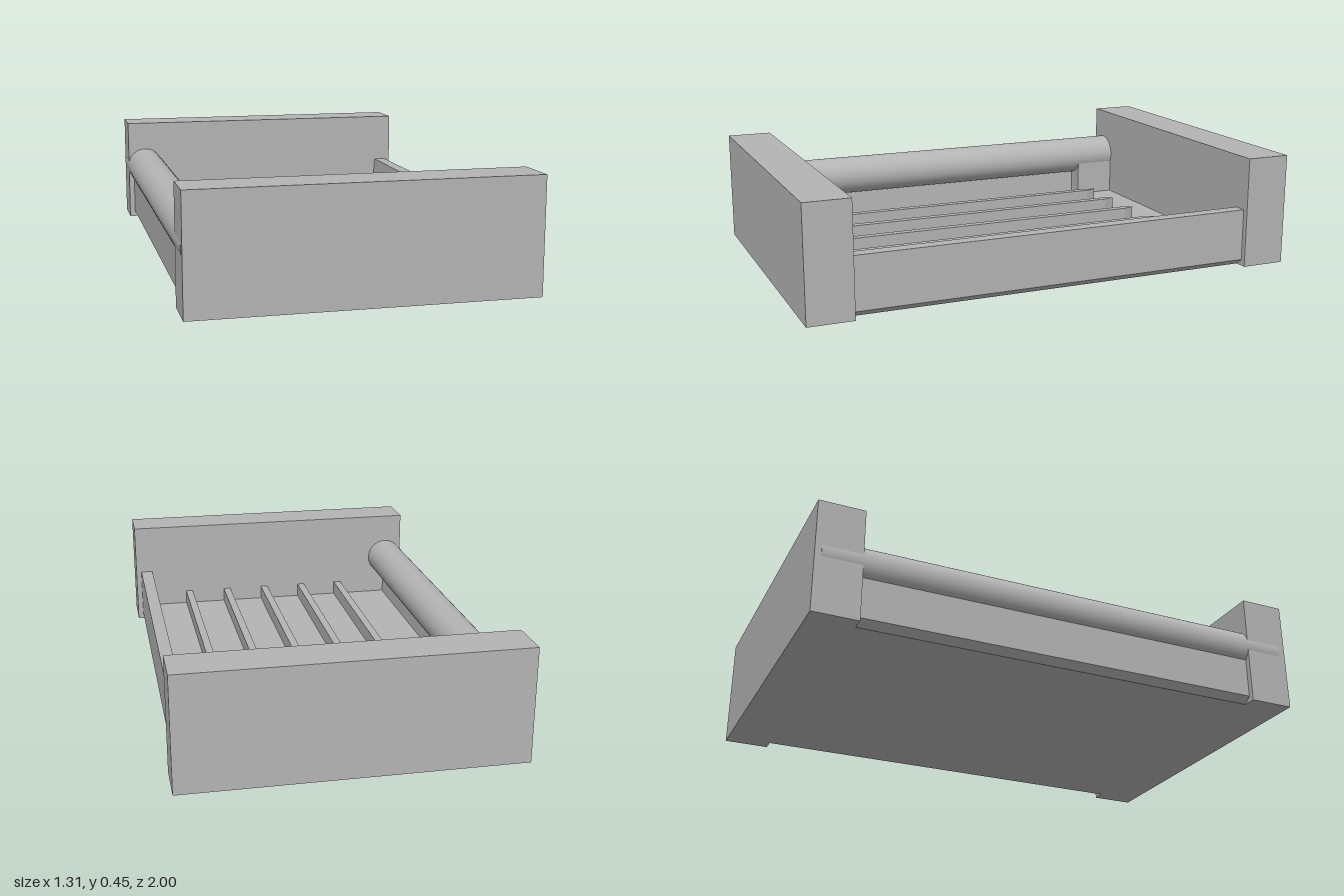
import * as THREE from 'three';

export function createModel() {
  const group = new THREE.Group();
  const grey = new THREE.MeshStandardMaterial({ color: 0xb4b4b4 });
  grey.name = 'plain grey';

  const add = (name, geometry, x = 0, y = 0, z = 0) => {
    const mesh = new THREE.Mesh(geometry, grey);
    mesh.name = name;
    mesh.position.set(x, y, z);
    group.add(mesh);
    return mesh;
  };
  const extrude = (points, depth) => new THREE.ExtrudeGeometry(
    new THREE.Shape(points.map(([x, y]) => new THREE.Vector2(x, y))),
    { depth, bevelEnabled: false });

  const inner = 0.82; // inner face of the end blocks
  const floorTop = 0.066;

  // Tall blocks closing both ends
  for (const side of [1, -1]) {
    add(side > 0 ? 'frontBlock' : 'backBlock',
      new THREE.BoxGeometry(1.306, 0.45, 1 - inner), 0, 0.225, side * (1 + inner) / 2);
  }

  // Tray: floor and two side walls in one section, chamfered along the bottom
  add('tray', extrude([
    [-0.6, 0], [0.6, 0], [0.63, 0.025], [0.63, 0.235], [0.578, 0.235],
    [0.567, floorTop], [-0.567, floorTop], [-0.578, 0.235], [-0.63, 0.235], [-0.63, 0.025],
  ], 2 * inner), 0, 0, -inner);

  // Round bar on top of the side wall, its ends sunk into the blocks
  const bar = new THREE.CylinderGeometry(0.081, 0.081, 1.95, 48);
  bar.rotateX(Math.PI / 2);
  add('roundBar', bar, -0.575, 0.245, 0);

  // Post in the back corner beneath the bar
  add('cornerPost', new THREE.BoxGeometry(0.075, 0.18, 0.175),
    -0.5375, floorTop + 0.09, -inner + 0.0875);

  // Floor ribs, pointed at the back
  const w = 0.016;
  const rib = extrude([[-w, -inner], [w, -inner], [w, 0.6], [0, 0.645], [-w, 0.6]], 0.066);
  rib.rotateX(-Math.PI / 2);
  for (let i = 0; i < 5; i++) {
    add('floorRib', rib, -0.334 + i * 0.184, 0.06, 0);
  }

  return group;
}
